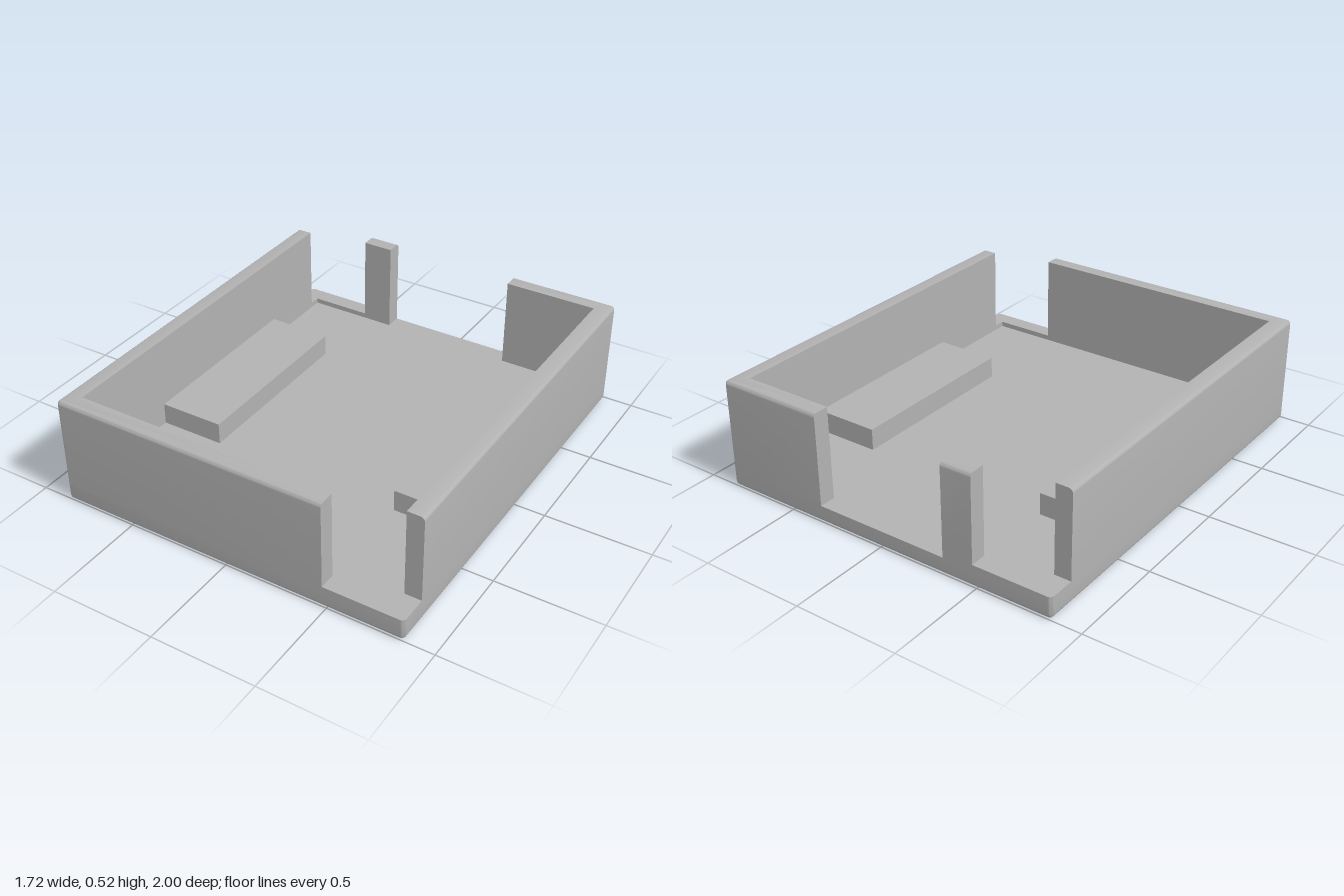
import * as THREE from 'three';
import { toCreasedNormals } from 'three/addons/utils/BufferGeometryUtils.js';

const W = 0.86, D = 1;            // outer half width and half depth
const IW = 0.78, ID = 0.92;       // inner half width and half depth
const FLOOR = 0.08, SILL = 0.105, TOP = 0.525, R = 0.02;

// Levels [y, inset] of a quarter-round edge
const STEPS = [0, 1, 2, 3, 4, 5, 6];
const angle = (i) => (i / 6) * 1.5;
const roundTop = (y0) => [[y0, 0],
  ...STEPS.map((i) => [TOP - R + R * Math.sin(angle(i)), R * (1 - Math.cos(angle(i)))])];
const roundBottom = (y1) => [
  ...STEPS.slice().reverse().map((i) => [R - R * Math.sin(angle(i)), R * (1 - Math.cos(angle(i)))]),
  [y1, 0]];

// Rounded outer corner in the quadrant (sx, sz)
function corner(sx, sz, inset) {
  return STEPS.map((i) => {
    const a = (Math.PI / 2) * (1 - i / 6), r = R - inset;
    return [sx * (W - R + r * Math.cos(a)), sz * (D - R + r * Math.sin(a))];
  });
}

// L-shaped plan that wraps one corner of the tray
const cornerPlan = (sx, sz, lenX, lenZ) => (inset) => [
  [sx * (W - lenX), sz * (D - inset)],
  ...corner(sx, sz, inset),
  [sx * (W - inset), sz * (D - lenZ)],
  [sx * IW, sz * (D - lenZ)],
  [sx * IW, sz * ID],
  [sx * (W - lenX), sz * ID],
];

const trayPlan = (inset) => [
  ...corner(1, 1, inset), ...corner(1, -1, inset).reverse(),
  ...corner(-1, -1, inset), ...corner(-1, 1, inset).reverse(),
];

const postPlan = (inset) => [
  [-0.48, -D + inset], [-0.33, -D + inset], [-0.33, -ID], [-0.48, -ID],
];

// Solid lofted through a plan at successive heights, closed by two caps
function loft(plan, levels) {
  const rings = levels.map(([y, inset]) => {
    const pts = plan(inset).map(([x, z]) => new THREE.Vector2(x, -z));
    if (THREE.ShapeUtils.isClockWise(pts)) pts.reverse();
    return { y, pts };
  });
  const pos = [];
  const put = (ring, i) => pos.push(ring.pts[i].x, ring.y, -ring.pts[i].y);
  const n = rings[0].pts.length;
  for (let k = 0; k < rings.length - 1; k++) {
    const a = rings[k], b = rings[k + 1];
    for (let i = 0; i < n; i++) {
      const j = (i + 1) % n;
      put(a, i); put(a, j); put(b, j);
      put(a, i); put(b, j); put(b, i);
    }
  }
  const first = rings[0], last = rings[rings.length - 1];
  for (const [a, b, c] of THREE.ShapeUtils.triangulateShape(last.pts, [])) {
    put(last, a); put(last, b); put(last, c);
  }
  for (const [a, b, c] of THREE.ShapeUtils.triangulateShape(first.pts, [])) {
    put(first, a); put(first, c); put(first, b);
  }
  const geo = new THREE.BufferGeometry();
  geo.setAttribute('position', new THREE.Float32BufferAttribute(pos, 3));
  return toCreasedNormals(geo, 0.6);
}

export function createModel() {
  const group = new THREE.Group();
  const grey = new THREE.MeshStandardMaterial({ color: 0xb2b2b2 });
  grey.name = 'grey plastic';
  const add = (name, geo) => {
    const mesh = new THREE.Mesh(geo, grey);
    mesh.name = name;
    group.add(mesh);
    return mesh;
  };

  // Floor plate with rounded underside edge
  add('floor', loft(trayPlan, roundBottom(FLOOR)));

  // Tall walls around two opposite corners
  add('frontRightWall', loft(cornerPlan(-1, 1, 1.34, 1.865), roundTop(FLOOR)));
  add('backLeftWall', loft(cornerPlan(1, -1, 0.53, 1.86), roundTop(FLOOR)));

  // Low sills in the two open corners
  const sillLevels = [[FLOOR, 0], [SILL, 0]];
  add('frontLeftSill', loft(cornerPlan(1, 1, 0.38, 0.14), sillLevels));
  add('backRightSill', loft(cornerPlan(-1, -1, 0.38, 0.135), sillLevels));

  // Free-standing post on the back edge
  add('backPost', loft(postPlan, roundTop(FLOOR)));

  // Support ledges along both side walls
  for (const s of [-1, 1]) {
    const ledge = add(s > 0 ? 'leftLedge' : 'rightLedge', new THREE.BoxGeometry(0.315, 0.105, 0.91));
    ledge.position.set(s * 0.6225, FLOOR + 0.0525, -0.055);
  }
  return group;
}
